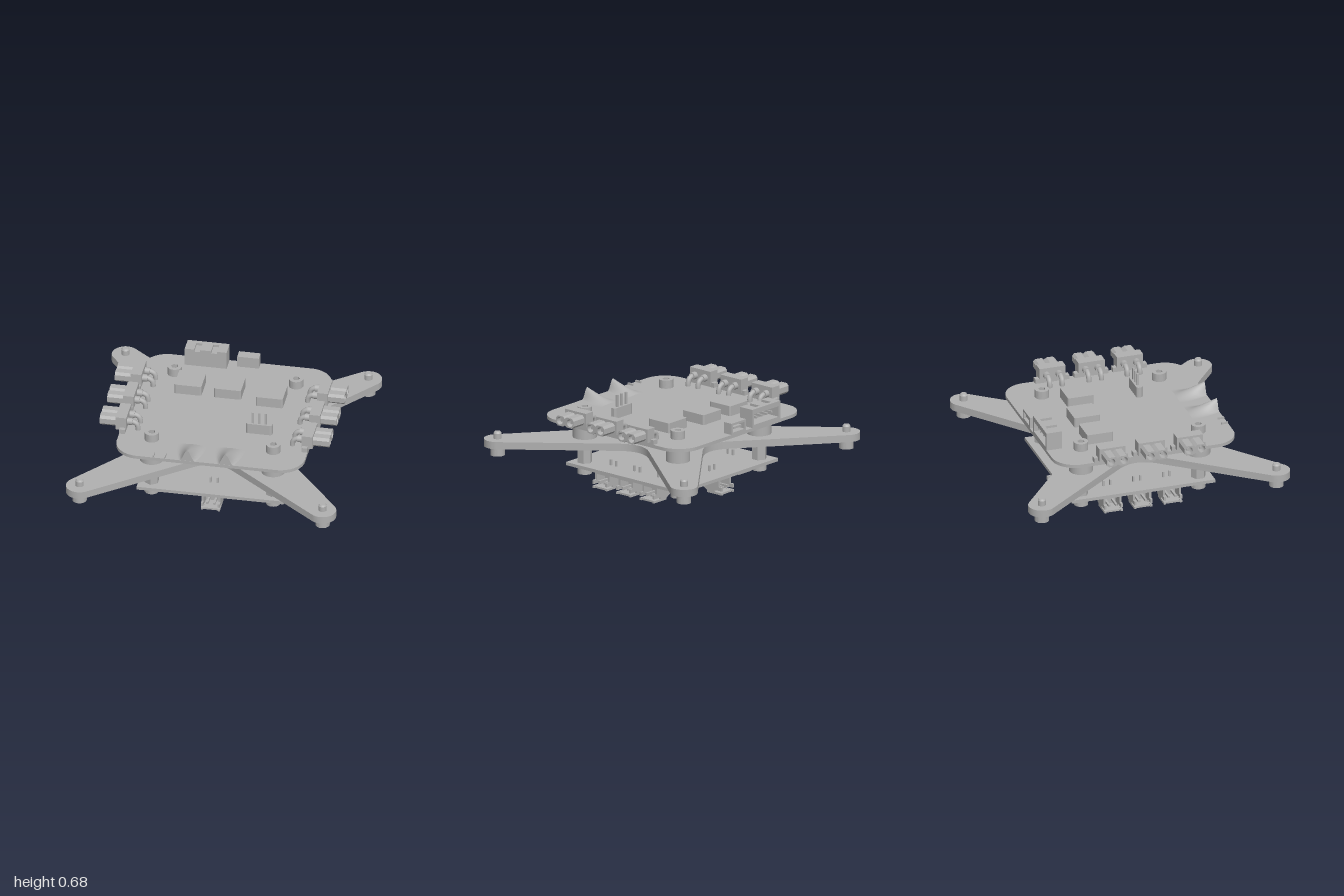
import * as THREE from 'three';
import { toCreasedNormals } from 'three/addons/utils/BufferGeometryUtils.js';

const grey = new THREE.MeshStandardMaterial({ color: 0xb0b0b0 });
grey.name = 'plainGrey';

export function createModel() {
  const model = new THREE.Group();
  model.name = 'stackedCircuitBoards';

  // ---- helpers ----
  const add = (parent, name, geo) => {
    const m = new THREE.Mesh(geo, grey);
    m.name = name;
    parent.add(m);
    return m;
  };
  const group = (name, x = 0, y = 0, z = 0, turn = 0, parent = model) => {
    const g = new THREE.Group();
    g.name = name;
    g.position.set(x, y, z);
    g.rotation.y = turn;
    parent.add(g);
    return g;
  };
  // box given by its limits on each axis
  const box = (p, name, x0, x1, y0, y1, z0, z1) =>
    add(p, name, new THREE.BoxGeometry(x1 - x0, y1 - y0, z1 - z0)
      .translate((x0 + x1) / 2, (y0 + y1) / 2, (z0 + z1) / 2));
  const cyl = (p, name, r, y0, y1, x = 0, z = 0, sides = 32, rTop = r) => {
    let g = new THREE.CylinderGeometry(rTop, r, y1 - y0, sides);
    if (sides < 9) g = toCreasedNormals(g, 0.3);
    return add(p, name, g.translate(x, (y0 + y1) / 2, z));
  };
  const poly = (pts) => new THREE.Shape(pts.map(([x, y]) => new THREE.Vector2(x, y)));
  const extrude = (shape, depth) => toCreasedNormals(
    new THREE.ExtrudeGeometry(shape, { depth, bevelEnabled: false, curveSegments: 16 }), 0.5);
  // flat slab lying in x/z, shape y is -z
  const slab = (p, name, shape, y0, y1) =>
    add(p, name, extrude(shape, y1 - y0).rotateX(-Math.PI / 2).translate(0, y0, 0));
  const roundRect = (w, d, r) => {
    const s = new THREE.Shape();
    s.absarc(w - r, d - r, r, 0, Math.PI / 2);
    s.absarc(r - w, d - r, r, Math.PI / 2, Math.PI);
    s.absarc(r - w, r - d, r, Math.PI, Math.PI * 1.5);
    s.absarc(w - r, r - d, r, Math.PI * 1.5, Math.PI * 2);
    return s;
  };
  const hole = (x, y, r, sides = 24) => {
    const pts = [];
    for (let i = 0; i < sides; i++) {
      const a = (i / sides) * Math.PI * 2;
      pts.push(new THREE.Vector2(x + r * Math.cos(a), y + r * Math.sin(a)));
    }
    return new THREE.Path(pts);
  };
  // cap screw head with hex socket, socket facing up from y = 0
  const screwHead = (p, r, h) => {
    const s = new THREE.Shape().absarc(0, 0, r, 0, Math.PI * 2);
    s.holes.push(hole(0, 0, r * 0.5, 6));
    slab(p, 'socketRim', s, h * 0.35, h);
    cyl(p, 'headBase', r, 0, h * 0.35);
  };

  // ---- cross frame with four flaring arms ----
  const frame = new THREE.Shape();
  const lean = Math.atan2(0.78, -0.625);
  const corner = (i) => {
    const t = (i * Math.PI) / 2;
    const turn = (x, y) => [x * Math.cos(t) - y * Math.sin(t), x * Math.sin(t) + y * Math.cos(t)];
    const [cx, cy] = turn(0.9, 0.9);
    frame.absarc(cx, cy, 0.1, t + Math.PI / 2 - lean, t + lean, false);
    frame.lineTo(...turn(0.15, 0.428));
    frame.quadraticCurveTo(...turn(0, 0.308), ...turn(-0.15, 0.428));
  };
  for (let i = 0; i < 4; i++) corner(i);
  slab(model, 'crossFrame', frame, 0.29, 0.345);

  // ---- boards ----
  slab(model, 'upperBoard', roundRect(0.697, 0.697, 0.18), 0.49, 0.515);
  box(model, 'lowerBoard', -0.545, 0.545, 0.128, 0.152, -0.55, 0.55);

  // ---- spacers and screws at each corner ----
  for (const sx of [-1, 1]) for (const sz of [-1, 1]) {
    const x = 0.45 * sx, z = 0.45 * sz;
    cyl(model, 'upperSpacer', 0.088, 0.345, 0.49, x, z);
    cyl(model, 'lowerHexSpacer', 0.056, 0.152, 0.29, x, z, 6);
    screwHead(group('upperScrew', x, 0.515, z), 0.053, 0.062);
    const low = group('lowerScrew', x, 0.128, z);
    low.rotation.x = Math.PI;
    screwHead(low, 0.053, 0.06);
    const tip = group('armScrew', 0.9 * sx, 0.29, 0.9 * sz);
    tip.rotation.x = Math.PI;
    screwHead(tip, 0.053, 0.07);
    cyl(model, 'armScrewShank', 0.03, 0.345, 0.385, 0.9 * sx, 0.9 * sz);
    cyl(model, 'armScrewTip', 0.03, 0.385, 0.397, 0.9 * sx, 0.9 * sz, 32, 0.022);
  }

  // ---- two-pin sockets under the lower board, opening outward (+x) ----
  const cheek = poly([[0.305, 0.128], [0.305, 0.075], [0.4, 0.02], [0.4, 0.005], [0.54, 0.005],
    [0.54, 0.022], [0.47, 0.022], [0.47, 0.036], [0.54, 0.036], [0.54, 0.065], [0.51, 0.065], [0.51, 0.128]]);
  const lowerSocket = (along, turn) => {
    const g = group('lowerSocket', 0, 0, 0, turn);
    const h = group('housing', 0, 0, along, 0, g);
    for (const z of [-0.07, 0.054]) add(h, 'cheek', extrude(cheek, 0.016).translate(0, 0, z));
    box(h, 'roof', 0.36, 0.51, 0.108, 0.128, -0.054, 0.054);
    box(h, 'floor', 0.4, 0.53, 0.006, 0.02, -0.054, 0.054);
    box(h, 'backWall', 0.385, 0.42, 0.02, 0.108, -0.054, 0.054);
    for (const z of [-0.026, 0.026]) {
      box(h, 'contact', 0.42, 0.52, 0.045, 0.061, z - 0.008, z + 0.008);
      box(h, 'boardPin', 0.378, 0.392, 0.1, 0.195, z - 0.007, z + 0.007);
    }
  };
  for (const z of [-0.228, 0, 0.228]) [0, Math.PI].forEach((t) => lowerSocket(z, t));
  [Math.PI / 2, -Math.PI / 2].forEach((t) => lowerSocket(0, t));

  // ---- twin power plugs along both sides of the upper board ----
  const lobes = poly([[-0.085, -0.02], [-0.068, -0.038], [-0.018, -0.038], [0, -0.024], [0.018, -0.038],
    [0.068, -0.038], [0.085, -0.02], [0.085, 0.02], [0.068, 0.038], [0.018, 0.038], [0, 0.024],
    [-0.018, 0.038], [-0.068, 0.038], [-0.085, 0.02]]);
  lobes.holes.push(hole(-0.048, 0, 0.028), hole(0.048, 0, 0.028));
  const lobeGeo = extrude(lobes, 0.12).rotateY(Math.PI / 2).translate(0.73, 0.578, 0);
  const lead = new THREE.CatmullRomCurve3([[0.65, 0.578], [0.61, 0.577], [0.583, 0.562], [0.573, 0.535], [0.572, 0.505]]
    .map(([x, y]) => new THREE.Vector3(x, y, 0)));
  for (const z of [-0.3, 0, 0.295]) for (const turn of [0, Math.PI]) {
    const g = group('powerPlug', 0, 0, z, turn);
    add(g, 'plugShell', lobeGeo);
    box(g, 'plugBlock', 0.65, 0.73, 0.53, 0.632, -0.1, 0.1);
    box(g, 'mountingTab', 0.655, 0.697, 0.515, 0.55, -0.13, 0.13);
    for (const s of [-0.048, 0.048]) {
      add(g, 'bentLead', new THREE.TubeGeometry(lead, 16, 0.019, 12).translate(0, 0, s));
      add(g, 'leadCollar', new THREE.CylinderGeometry(0.027, 0.027, 0.04, 20)
        .rotateZ(Math.PI / 2).translate(0.632, 0.578, s));
      add(g, 'contactPin', new THREE.CylinderGeometry(0.012, 0.012, 0.1, 12)
        .rotateZ(Math.PI / 2).translate(0.78, 0.578, s));
    }
  }

  // ---- square chips ----
  for (const [x, z] of [[-0.303, -0.285], [-0.01, -0.285], [0.31, -0.228]]) {
    const c = group('chip', x, 0, z);
    slab(c, 'chipBody', roundRect(0.1, 0.1, 0.012), 0.515, 0.59);
  }

  // ---- three-pin header ----
  const header = group('pinHeader', 0.304, 0, 0.222);
  slab(header, 'headerBase', roundRect(0.098, 0.023, 0.018), 0.515, 0.595);
  for (const x of [-0.048, 0, 0.048]) box(header, 'headerPin', x - 0.008, x + 0.008, 0.59, 0.685, -0.008, 0.008);

  // ---- box sockets on the rear edge, opening to the back ----
  const backSocket = (name, x0, x1, yTop, zFront, wall) => {
    const g = group(name);
    const s = poly([[x0, 0.515], [x1, 0.515], [x1, yTop], [x0, yTop]]);
    s.holes.push(new THREE.Path([[x0 + wall, 0.515 + wall], [x0 + wall, yTop - wall],
      [x1 - wall, yTop - wall], [x1 - wall, 0.515 + wall]].map(([a, b]) => new THREE.Vector2(a, b))));
    add(g, 'socketShell', extrude(s, zFront - 0.02 + 0.698).translate(0, 0, -0.698));
    box(g, 'socketWall', x0, x1, 0.515, yTop, zFront - 0.02, zFront);
    return g;
  };
  const big = backSocket('largeRearSocket', -0.4, -0.09, 0.635, -0.577, 0.02);
  slab(big, 'slottedLid', poly([[-0.4, 0.698], [-0.4, 0.577], [-0.33, 0.577], [-0.33, 0.668], [-0.285, 0.668],
    [-0.285, 0.577], [-0.205, 0.577], [-0.205, 0.668], [-0.16, 0.668], [-0.16, 0.577], [-0.09, 0.577],
    [-0.09, 0.698]]), 0.635, 0.653);
  for (let i = 0; i < 4; i++) box(big, 'rearContact', -0.335 + i * 0.056, -0.323 + i * 0.056, 0.57, 0.585, -0.68, -0.59);
  const small = backSocket('smallRearSocket', -0.02, 0.14, 0.6, -0.623, 0.016);
  box(small, 'rearTongue', 0.015, 0.105, 0.55, 0.565, -0.685, -0.64);

  // ---- bell-shaped ramps rising to the front edge ----
  const ramp = (cx) => {
    const n = 20, rows = 10, pos = [], idx = [];
    for (let j = 0; j <= rows; j++) {
      const t = j / rows, half = 0.108 - 0.05 * t * t, h = 0.006 + 0.079 * t;
      for (let i = 0; i <= n; i++) {
        const u = (i / n) * 2 - 1;
        pos.push(cx + half * u, 0.515 + h * (0.5 + 0.5 * Math.cos(Math.PI * u)), 0.475 + 0.22 * t);
        if (i < n && j < rows) {
          const a = j * (n + 1) + i, b = a + n + 1;
          idx.push(a, b, a + 1, b, b + 1, a + 1);
        }
      }
    }
    // front end cap
    const base = rows * (n + 1);
    const mid = pos.length / 3;
    pos.push(cx, 0.515, 0.695);
    for (let i = 0; i < n; i++) idx.push(base + i, mid, base + i + 1);
    const g = new THREE.BufferGeometry();
    g.setAttribute('position', new THREE.Float32BufferAttribute(pos, 3));
    g.setIndex(idx);
    add(model, 'frontRamp', toCreasedNormals(g, 0.6));
  };
  [-0.142, 0.142].forEach(ramp);

  // ---- small tabs on the front edge ----
  for (const x of [-0.395, -0.31]) box(model, 'edgeTab', x - 0.005, x + 0.005, 0.515, 0.53, 0.645, 0.695);

  return model;
}
